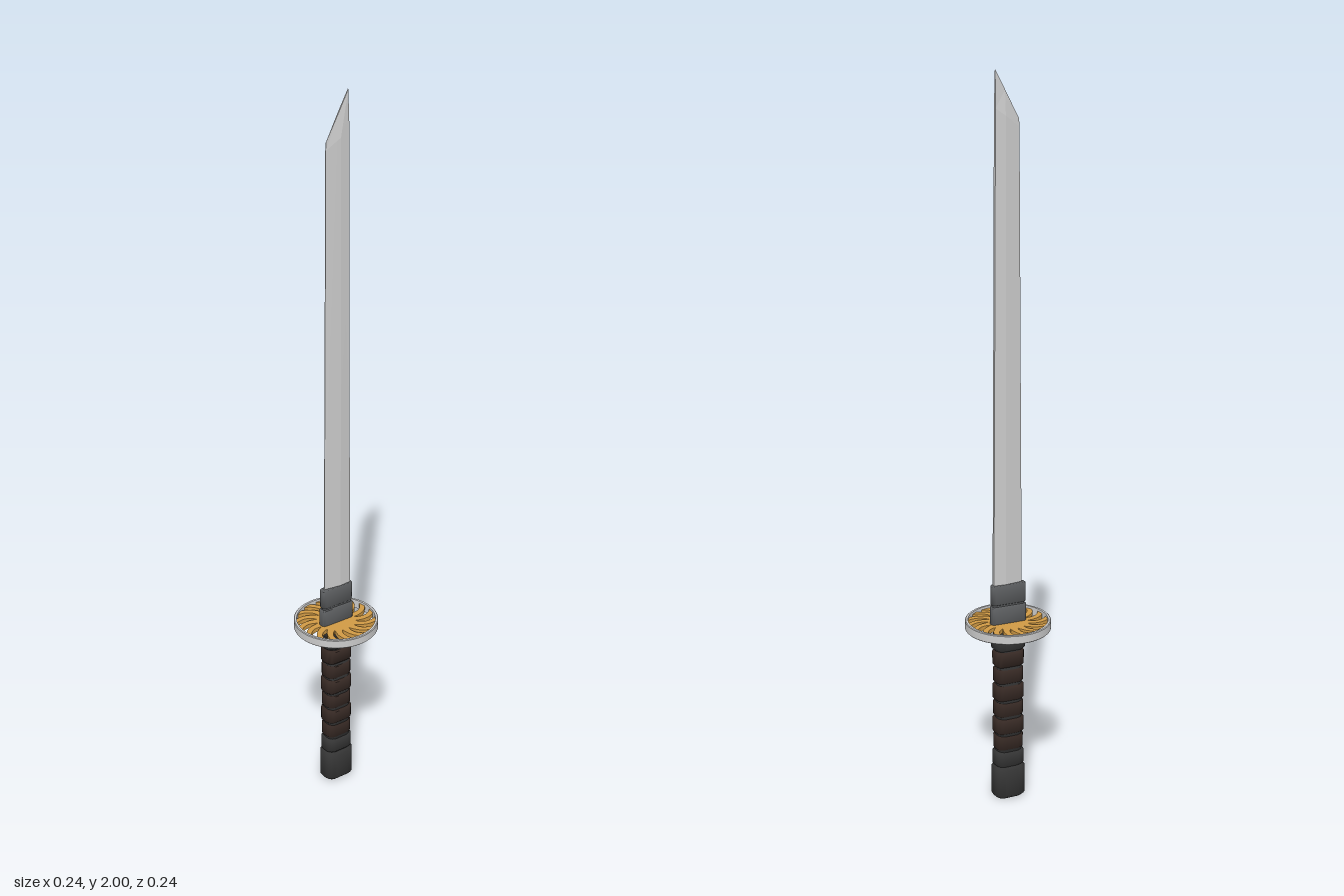
import * as THREE from 'three';
import { toCreasedNormals } from 'three/addons/utils/BufferGeometryUtils.js';

const steel = new THREE.MeshStandardMaterial({ color: 0xcccccc });
const gold = new THREE.MeshStandardMaterial({ color: 0xd09a45 });
const black = new THREE.MeshStandardMaterial({ color: 0x353535 });
const brown = new THREE.MeshStandardMaterial({ color: 0x352823 });
const darkSteel = new THREE.MeshStandardMaterial({ color: 0x5a5c5e });

// Closed skin over a stack of rings, each an array of [x, y, z], with end caps
function loft(rings, crease = 0.6) {
  const n = rings[0].length, pos = rings.flat(2), idx = [];
  for (let i = 0; i < rings.length - 1; i++) {
    for (let j = 0; j < n; j++) {
      const a = i * n + j, b = i * n + (j + 1) % n;
      idx.push(a, a + n, b, b, a + n, b + n);
    }
  }
  const top = (rings.length - 1) * n;
  for (let j = 1; j < n - 1; j++) {
    idx.push(0, j, j + 1, top, top + j + 1, top + j);
  }
  const g = new THREE.BufferGeometry();
  g.setAttribute('position', new THREE.Float32BufferAttribute(pos, 3));
  g.setIndex(idx);
  return toCreasedNormals(g, crease);
}

// Rounded-rectangle ring with half sizes hx, hz and corner radius r
function roundRing(y, hx, hz, r) {
  const ring = [];
  for (let c = 0; c < 4; c++) {
    const sx = c === 0 || c === 3 ? 1 : -1, sz = c < 2 ? 1 : -1;
    for (let k = 0; k <= 5; k++) {
      const a = (c + k / 5) * Math.PI / 2;
      ring.push([sx * (hx - r) + r * Math.cos(a), y, sz * (hz - r) + r * Math.sin(a)]);
    }
  }
  return ring;
}

// Rounded block between two heights with softened ends
function block(y0, y1, hx, hz, bevel, round = 0.8) {
  const level = (y, inset) => roundRing(y, hx - inset, hz - inset, (hx - inset) * round);
  return loft([level(y0, bevel), level(y0 + bevel, 0), level(y1 - bevel, 0), level(y1, bevel)], 0.9);
}

export function createModel() {
  const sword = new THREE.Group();
  sword.name = 'sword';
  const add = (name, geometry, material, parent = sword) => {
    const mesh = new THREE.Mesh(geometry, material);
    mesh.name = name;
    parent.add(mesh);
    return mesh;
  };

  // Blade: cutting edge at +z, ridge, flat spine at -z, slanted tip
  const section = (zEdge, zSpine, thick, height) => {
    const zRidge = zSpine + (zEdge - zSpine) * 0.4;
    return [[0.001, zEdge], [-0.001, zEdge], [-0.008, zRidge], [-0.005, zSpine], [0.005, zSpine], [0.008, zRidge]]
      .map(([x, z]) => [x * thick, height(z), z]);
  };
  add('blade', loft([
    section(0.041, -0.044, 1, () => 0.55),
    section(0.031, -0.036, 1, z => 1.86 + (0.031 - z) * 0.7),
    section(0.03, -0.035, 0.25, z => 1.88 + (0.03 - z) * 0.12 / 0.065),
  ], 0.05), steel);

  // Two-part collar holding the blade above the guard
  add('lowerCollar', block(0.52, 0.578, 0.0125, 0.052, 0.002), darkSteel);
  add('collarGroove', block(0.57, 0.59, 0.009, 0.047, 0.001), darkSteel);
  add('upperCollar', block(0.583, 0.64, 0.0115, 0.05, 0.002), darkSteel);

  // Guard: gold disc with sixteen swept rays inside a steel ring
  const guard = new THREE.Group();
  guard.name = 'guard';
  sword.add(guard);
  const outline = [], rays = 16, steps = 8;
  const rayPoint = (k, t, side) => {
    const r = 0.055 + 0.058 * t;
    const swell = 0.1 + 0.09 * (1 - t) ** 4;
    const a = (k + 0.5) * 2 * Math.PI / rays - 0.28 + 0.34 * t * t + side * swell;
    return new THREE.Vector2(r * Math.cos(a), r * Math.sin(a));
  };
  for (let k = 0; k < rays; k++) {
    for (let i = 0; i <= steps; i++) outline.push(rayPoint(k, i / steps, -1));
    for (let i = steps; i >= 0; i--) outline.push(rayPoint(k, i / steps, 1));
  }
  const disc = new THREE.ExtrudeGeometry(new THREE.Shape(outline), { depth: 0.012, bevelEnabled: false });
  disc.rotateX(-Math.PI / 2).translate(0, 0.516, 0);
  add('rayDisc', toCreasedNormals(disc, 0.5), gold, guard);
  const rim = [[0.11, 0.509], [0.116, 0.509], [0.118, 0.511], [0.118, 0.533], [0.116, 0.535], [0.11, 0.535], [0.11, 0.509]];
  const ring = new THREE.LatheGeometry(rim.map(([x, y]) => new THREE.Vector2(x, y)), 64);
  add('guardRing', toCreasedNormals(ring, 0.5), steel, guard);

  // Handle: core, stacked wrap bands, end fittings
  const handle = new THREE.Group();
  handle.name = 'handle';
  sword.add(handle);
  add('handleCore', block(0.05, 0.516, 0.025, 0.037, 0.002), black, handle);
  const bands = 7, pitch = 0.0505;
  for (let i = 0; i < bands; i++) {
    const y = 0.097 + i * pitch, wide = i % 2 === 0;
    const band = block(y, y + pitch - 0.002, wide ? 0.029 : 0.027, wide ? 0.043 : 0.041, 0.006);
    add('wrapBand', band, i === 0 ? black : brown, handle);
  }
  add('handleCollar', block(0.45, 0.49, 0.032, 0.046, 0.006), black, handle);
  add('guardSeat', block(0.485, 0.518, 0.028, 0.041, 0.003), black, handle);
  add('pommel', block(0, 0.1, 0.032, 0.046, 0.009), black, handle);

  return sword;
}
